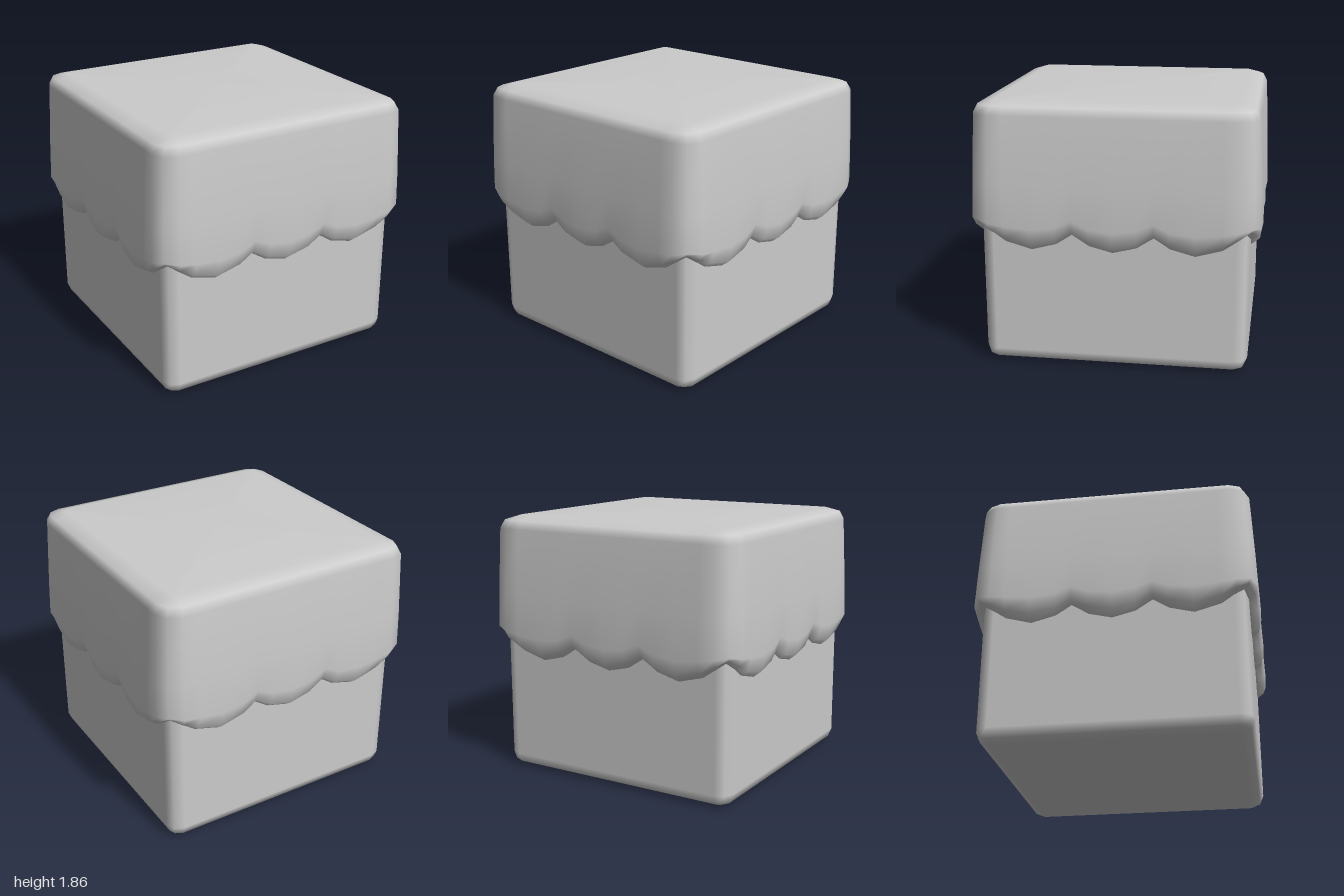
import * as THREE from 'three';
import { RoundedBoxGeometry } from 'three/addons/geometries/RoundedBoxGeometry.js';

// Half of one side's hem: [distance from the middle, hem height, pinch (1 = notch between scallops)]
const HEM = [[0, 0.84, 0], [0.16, 0.88, 0.3], [0.28, 0.957, 1], [0.39, 0.885, 0.3],
  [0.56, 0.84, 0], [0.74, 0.89, 0.25], [null, 0.95, 0.5]]; // null = start of the corner arc
const CORNER = { e: 1.0, p: 0.8 };

// Cross-section from hem to top: half width, corner radius, height
const ROWS = [
  (e) => [0.921, 0.095, e],
  (e, p) => [0.98 - 0.02 * p, 0.12, e + 0.045 - 0.02 * p],
  (e, p) => [1.0 - 0.012 * p, 0.14, 1.0 + 0.07 * p],
  (e, p) => [0.987 - 0.003 * p, 0.137, 1.3],
  () => [0.965, 0.13, 1.77],
  () => [0.935, 0.11, 1.828],
  () => [0.83, 0.03, 1.86],
];

function capGeometry() {
  // Columns of one side, left to right, followed by the corner column
  const left = HEM.slice(1).reverse().map(([u, e, p]) => ({ u, e, p, s: -1 }));
  const right = HEM.map(([u, e, p]) => ({ u, e, p, s: 1 }));
  const side = [...left, ...right, { ...CORNER, corner: true }];
  const n = side.length * 4;
  const pos = [], index = [];

  for (const row of ROWS) {
    for (let k = 0; k < 4; k++) {
      for (const col of side) {
        const [h, r, y] = row(col.e, col.p);
        const c = h - r;
        let x, z;
        if (col.corner) x = z = c + r * Math.SQRT1_2;
        else {
          x = col.s * (col.u === null ? c : col.u);
          z = h;
        }
        for (let q = 0; q < k; q++) [x, z] = [z, -x];
        pos.push(x, y, z);
      }
    }
  }
  for (let j = 0; j < ROWS.length - 1; j++) {
    for (let i = 0; i < n; i++) {
      const a = j * n + i, b = j * n + (i + 1) % n;
      index.push(a, b, b + n, a, b + n, a + n);
    }
  }
  // Flat top
  const centre = pos.length / 3, last = (ROWS.length - 1) * n;
  pos.push(0, 1.86, 0);
  for (let i = 0; i < n; i++) index.push(last + i, last + (i + 1) % n, centre);

  const g = new THREE.BufferGeometry();
  g.setAttribute('position', new THREE.Float32BufferAttribute(pos, 3));
  g.setIndex(index);
  g.computeVertexNormals();
  return g;
}

export function createModel() {
  const group = new THREE.Group();
  group.name = 'scallopedBlock';

  // Lower block with softly bevelled edges
  const body = new THREE.Mesh(
    new RoundedBoxGeometry(1.85, 1.3, 1.85, 1, 0.095),
    new THREE.MeshStandardMaterial({ color: 0xcccccc }));
  body.position.y = 0.65;
  body.name = 'lowerBlock';

  // Overhanging cap with a scalloped hem
  const cap = new THREE.Mesh(capGeometry(),
    new THREE.MeshStandardMaterial({ color: 0xcccccc, side: THREE.DoubleSide }));
  cap.name = 'scallopedCap';

  group.add(body, cap);
  return group;
}
